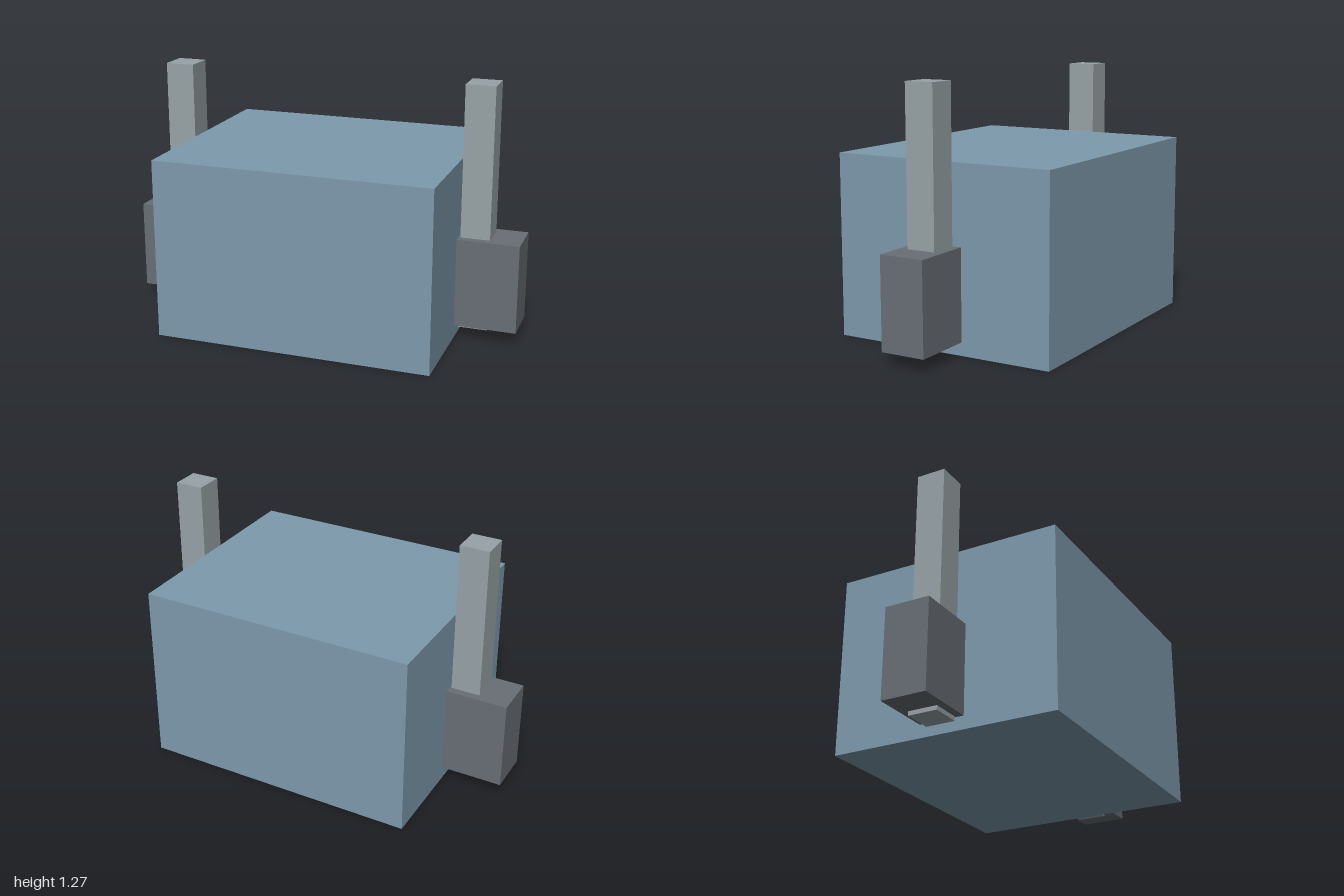
import * as THREE from 'three';

const bodyBlue = new THREE.MeshStandardMaterial({ color: 0x7d9aac });
const rodGrey = new THREE.MeshStandardMaterial({ color: 0x98a3a7 });
const blockGrey = new THREE.MeshStandardMaterial({ color: 0x686f75 });
bodyBlue.name = 'bodyBlue';
rodGrey.name = 'rodGrey';
blockGrey.name = 'blockGrey';

// Box spanning x0..x1 and y0..y1, centred on z
function box(name, material, x0, x1, y0, y1, depth) {
  const mesh = new THREE.Mesh(new THREE.BoxGeometry(x1 - x0, y1 - y0, depth), material);
  mesh.position.set((x0 + x1) / 2, (y0 + y1) / 2, 0);
  mesh.name = name;
  return mesh;
}

export function createModel() {
  const model = new THREE.Group();
  model.name = 'boxWithSidePosts';

  // Main body
  model.add(box('body', bodyBlue, -0.693, 0.693, 0, 0.9, 1.144));

  // A bracket block on each side with an upright post passing through it
  for (const [side, s] of [['left', 1], ['right', -1]]) {
    const span = (a, b) => (s > 0 ? [a, b] : [-b, -a]);
    const assembly = new THREE.Group();
    assembly.name = `${side}PostAssembly`;
    assembly.add(
      box(`${side}Bracket`, blockGrey, ...span(0.69, 1), 0.065, 0.512, 0.226),
      box(`${side}Post`, rodGrey, ...span(0.702, 0.848), 0.044, 1.268, 0.146),
    );
    model.add(assembly);
  }
  return model;
}
